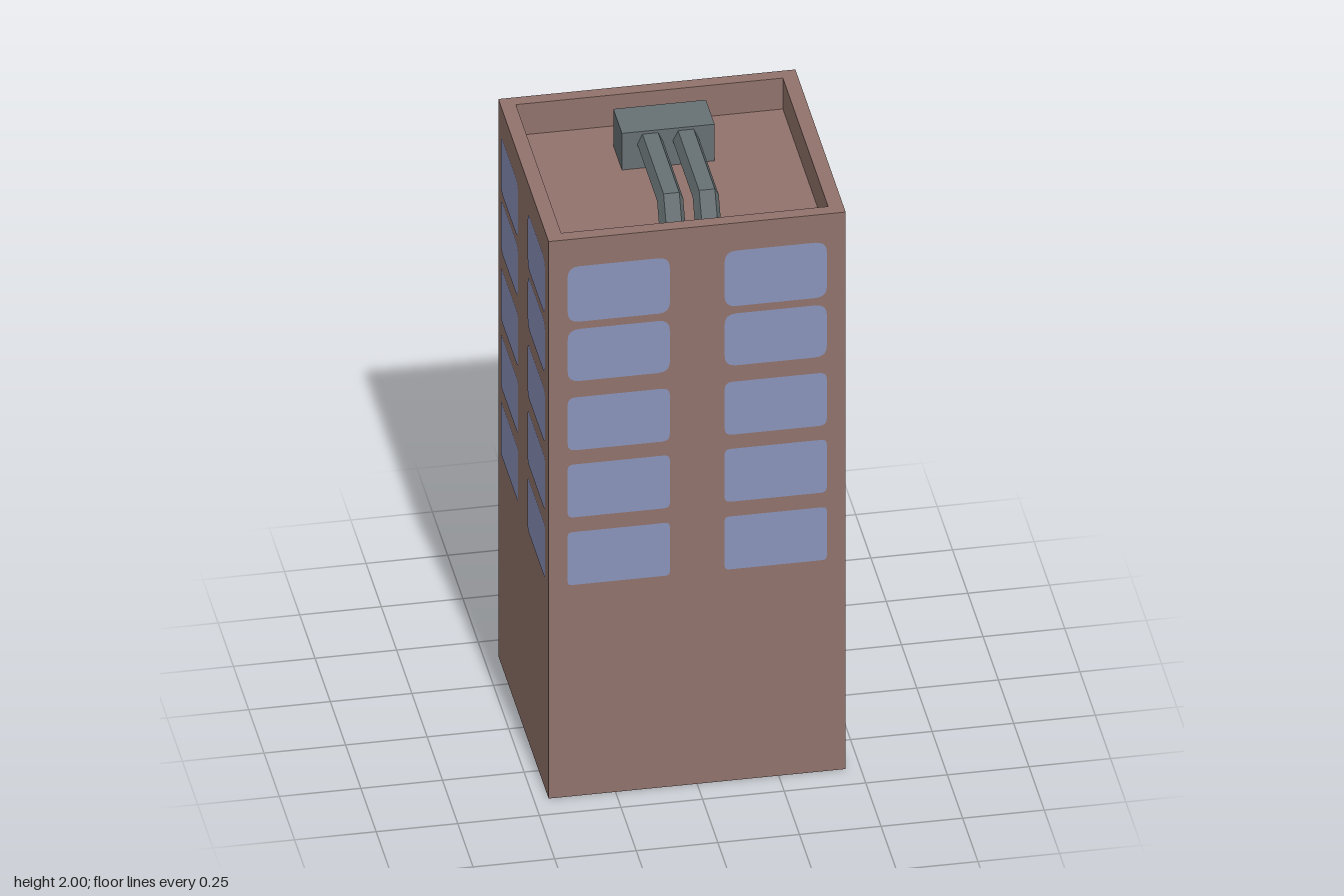
import * as THREE from 'three';

const brick = new THREE.MeshStandardMaterial({ color: 0x91726b, side: THREE.DoubleSide });
brick.name = 'brick';
const glass = new THREE.MeshStandardMaterial({ color: 0x8a93ba });
glass.name = 'window glass';
const metal = new THREE.MeshStandardMaterial({ color: 0x677073 });
metal.name = 'roof metal';

const HX = 0.455, HZ = 0.411;   // half width and half depth
const TOP = 1.98, ROOF = 1.87;  // parapet top and sunken roof

function add(parent, name, geometry, material, x = 0, y = 0, z = 0) {
  const mesh = new THREE.Mesh(geometry, material);
  mesh.name = name;
  mesh.position.set(x, y, z);
  parent.add(mesh);
  return mesh;
}

// Skin a list of closed cross-sections with flat-shaded quads
function loft(rings) {
  const n = rings[0].length, index = [];
  for (let r = 0; r < rings.length - 1; r++) {
    for (let k = 0; k < n; k++) {
      const a = r * n + k, b = r * n + (k + 1) % n;
      index.push(a, b, b + n, a, b + n, a + n);
    }
  }
  const g = new THREE.BufferGeometry();
  g.setAttribute('position', new THREE.Float32BufferAttribute(rings.flat(2), 3));
  g.setIndex(index);
  const flat = g.toNonIndexed();
  flat.computeVertexNormals();
  return flat;
}

const rectRing = (x, y, z) => [[-x, y, z], [x, y, z], [x, y, -z], [-x, y, -z]];

// Window pane with rounded corners
function pane(w, h, r) {
  const s = new THREE.Shape(), x = w / 2, y = h / 2;
  s.moveTo(-x + r, -y);
  s.lineTo(x - r, -y).quadraticCurveTo(x, -y, x, -y + r);
  s.lineTo(x, y - r).quadraticCurveTo(x, y, x - r, y);
  s.lineTo(-x + r, y).quadraticCurveTo(-x, y, -x, y - r);
  s.lineTo(-x, -y + r).quadraticCurveTo(-x, -y, -x + r, -y);
  return new THREE.ShapeGeometry(s, 4);
}

// Window rows: bottom, top, corner radius
const rows = [
  [0.752, 0.94, 0.014], [0.992, 1.18, 0.018], [1.23, 1.418, 0.024],
  [1.475, 1.66, 0.036], [1.686, 1.883, 0.036],
];

function windowWall(name, from, to, distance, angle) {
  const wall = new THREE.Group();
  wall.name = name;
  for (const [low, high, r] of rows) {
    const g = pane(to - from, high - low, r);
    for (const side of [-1, 1]) {
      add(wall, 'window', g, glass, side * (from + to) / 2, (low + high) / 2, distance + 0.002);
    }
  }
  wall.rotation.y = angle;
  return wall;
}

// Six-sided duct that runs forward, then bends down to the roof
function duct() {
  const top = 1.99, mid = 1.955, low = 1.92;
  const ring = (t, m, b) => [
    [0.04, ...m], [0.024, ...t], [-0.024, ...t],
    [-0.04, ...m], [-0.024, ...b], [0.024, ...b],
  ];
  return loft([
    ring([top, -0.14], [mid, -0.14], [low, -0.14]),
    ring([top, 0.225], [mid, 0.205], [low, 0.18]),
    ring([ROOF, 0.288], [ROOF, 0.245], [ROOF, 0.205]),
  ]);
}

export function createModel() {
  const model = new THREE.Group();
  model.name = 'apartmentTower';

  // Walls open at the base, with a parapet around the sunken roof
  add(model, 'wallsAndParapet', loft([
    rectRing(HX, 0, HZ), rectRing(HX, TOP, HZ),
    rectRing(0.409, TOP, 0.37), rectRing(0.409, ROOF, 0.37),
  ]), brick);
  const roof = add(model, 'roof', new THREE.PlaneGeometry(0.818, 0.74), brick, 0, ROOF, 0);
  roof.rotation.x = -Math.PI / 2;

  // Windows on all four sides
  for (let i = 0; i < 2; i++) {
    model.add(windowWall(i ? 'backWindows' : 'frontWindows', 0.084, 0.397, HZ, i * Math.PI));
    model.add(windowWall(i ? 'rightWindows' : 'leftWindows', 0.079, 0.361, HX, Math.PI / 2 + i * Math.PI));
  }

  // Rooftop ventilation
  const vent = new THREE.Group();
  vent.name = 'roofVentilation';
  add(vent, 'ventBox', new THREE.BoxGeometry(0.284, 2 - ROOF, 0.141), metal, 0.011, (2 + ROOF) / 2, -0.19);
  const ductGeometry = duct();
  for (const x of [-0.044, 0.065]) add(vent, 'duct', ductGeometry, metal, x);
  model.add(vent);

  return model;
}
